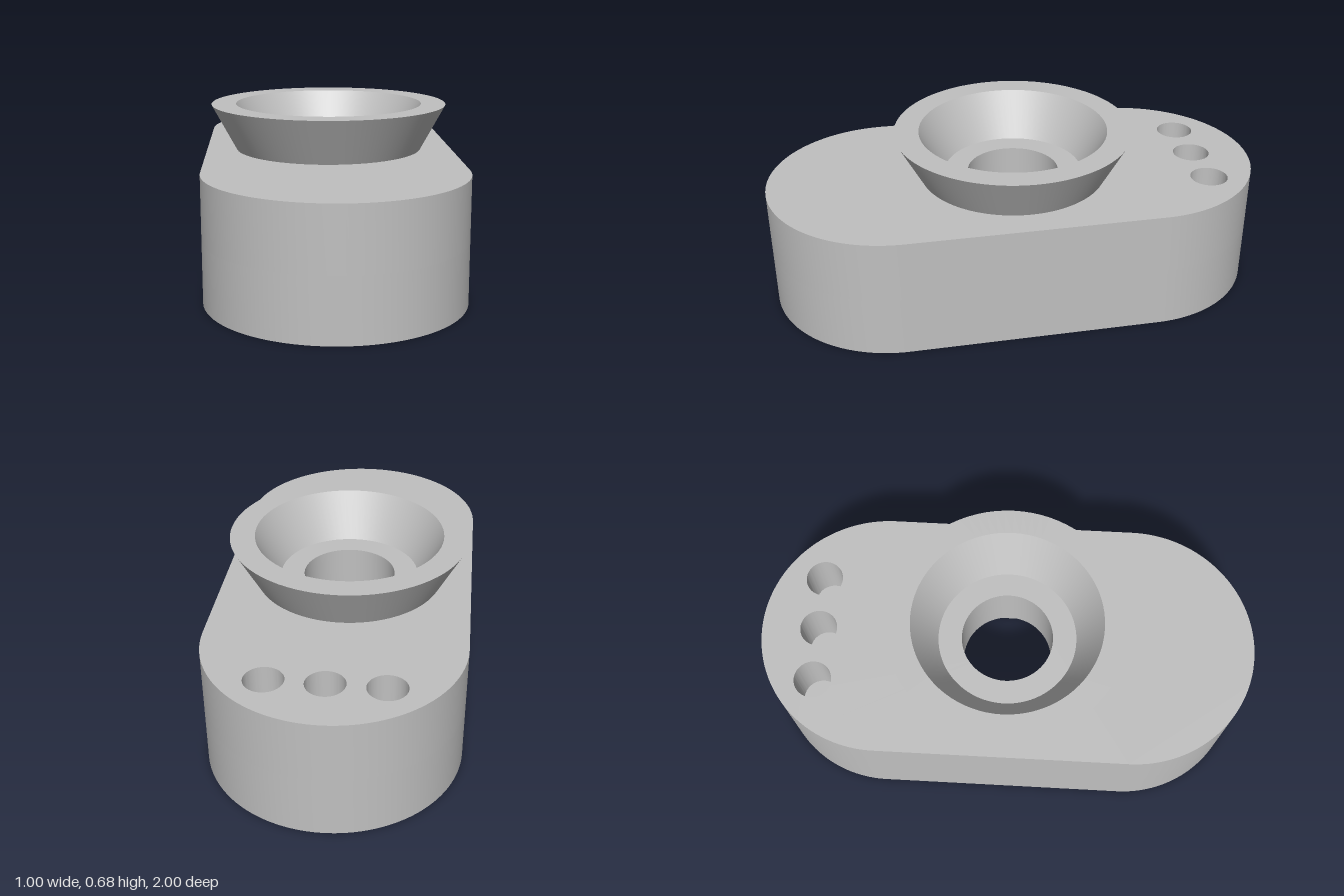
import * as THREE from 'three';
import { toCreasedNormals } from 'three/addons/utils/BufferGeometryUtils.js';

const CREASE = 0.5;
const BODY_TOP = 0.49;
const SLOT_TOP = 0.245;

// Outline with straight sides along the length and round ends
function stadium(radius, half, Type = THREE.Shape) {
  const s = new Type();
  s.absarc(0, half, radius, 0, Math.PI);
  s.absarc(0, -half, radius, Math.PI, Math.PI * 2);
  s.closePath();
  return s;
}

function circle(x, y, radius) {
  return new THREE.Path().absarc(x, y, radius, 0, Math.PI * 2);
}

// Upright slab of a plan outline between two heights
function slab(shape, y0, y1) {
  const g = new THREE.ExtrudeGeometry(shape, { depth: y1 - y0, bevelEnabled: false, curveSegments: 40 });
  g.rotateX(-Math.PI / 2).translate(0, y0, 0);
  return toCreasedNormals(g, CREASE);
}

export function createModel() {
  const model = new THREE.Group();
  model.name = 'slottedBlockWithFlaredCup';
  const grey = new THREE.MeshStandardMaterial({ color: 0xc0c0c0 });
  grey.name = 'grey';

  const add = (name, geometry) => {
    const mesh = new THREE.Mesh(geometry, grey);
    mesh.name = name;
    model.add(mesh);
  };

  // Lower half with the long slot open to the underside
  const lower = stadium(0.5, 0.5);
  lower.holes.push(stadium(0.28, 0.25, THREE.Path));
  add('lowerBody', slab(lower, 0, SLOT_TOP));

  // Upper half with the centre bore and three blind holes at the back
  const upper = stadium(0.5, 0.5);
  upper.holes.push(circle(0, 0, 0.185));
  for (const x of [-0.22, 0, 0.22]) upper.holes.push(circle(x, 0.77, 0.075));
  add('upperBody', slab(upper, SLOT_TOP, BODY_TOP));

  // Flared cup wall, standing on the body around the bore
  const profile = [[0.38, BODY_TOP], [0.48, 0.675], [0.38, 0.675], [0.28, BODY_TOP]]
    .map(([r, y]) => new THREE.Vector2(r, y));
  add('flaredCup', toCreasedNormals(new THREE.LatheGeometry(profile, 80), CREASE));

  return model;
}
